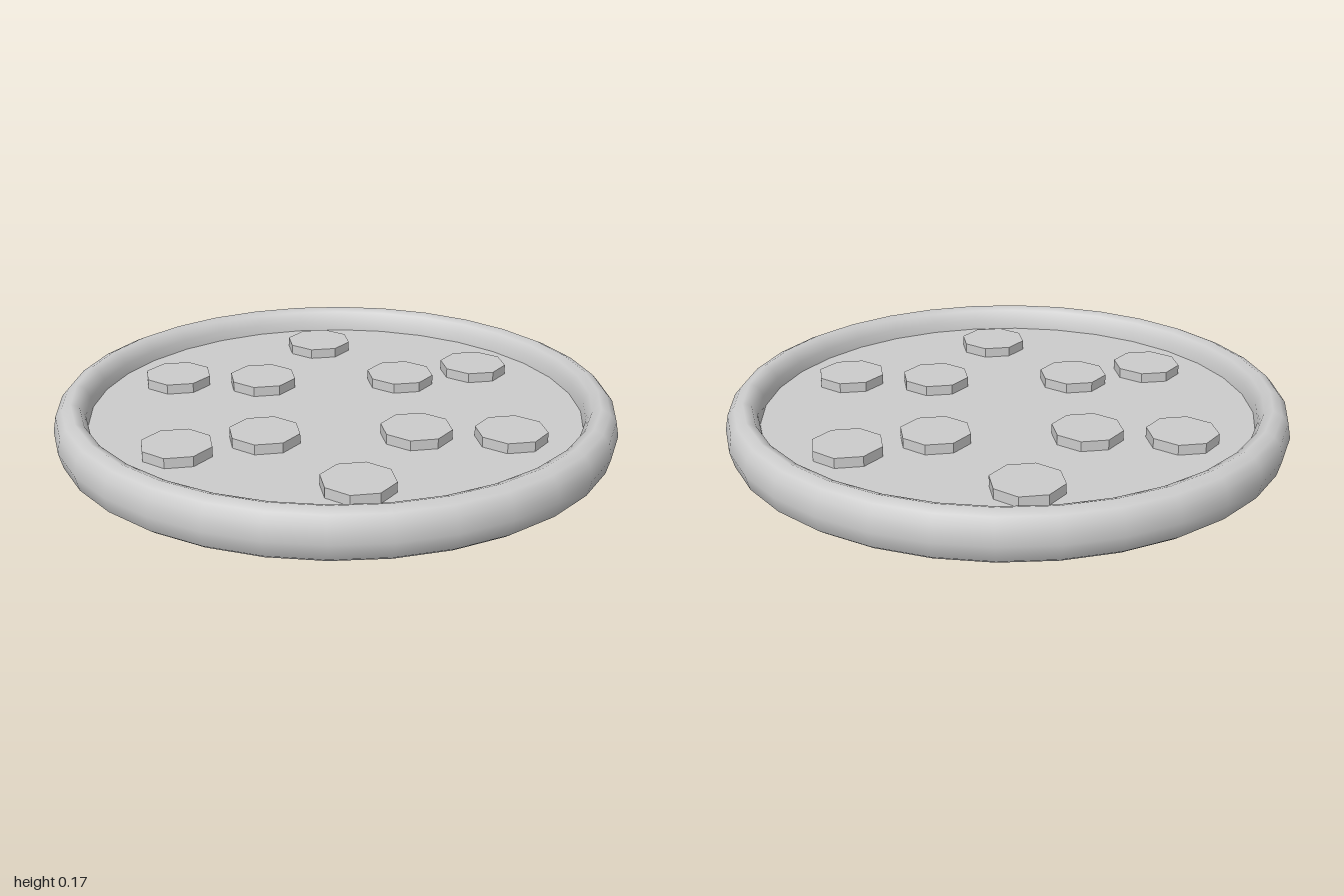
import * as THREE from 'three';

const SIDES = 32;
const FLOOR_Y = 0.083;

export function createModel() {
  const model = new THREE.Group();
  model.name = 'roundTray';
  const grey = new THREE.MeshStandardMaterial({ color: 0xcccccc });
  grey.name = 'light grey';

  const add = (name, geometry, parent = model) => {
    const mesh = new THREE.Mesh(geometry, grey);
    mesh.name = name;
    parent.add(mesh);
    return mesh;
  };

  // Rounded rim: up the outside, over the top and down to the floor
  const profile = [
    [0.965, 0], [0.985, 0.015], [1, 0.07], [0.99, 0.125], [0.967, 0.152],
    [0.935, 0.167], [0.905, 0.155], [0.886, 0.12], [0.88, FLOOR_Y],
  ].map(([x, y]) => new THREE.Vector2(x, y));
  add('rim', new THREE.LatheGeometry(profile, SIDES));

  // Flat floor and underside
  const floor = add('floor', new THREE.CircleGeometry(0.88, SIDES));
  floor.rotation.x = -Math.PI / 2;
  floor.position.y = FLOOR_Y;
  const underside = add('underside', new THREE.CircleGeometry(0.965, SIDES));
  underside.rotation.x = Math.PI / 2;

  // Octagonal slices, each paired with one half a turn away
  const slices = new THREE.Group();
  slices.name = 'slices';
  model.add(slices);
  const height = 0.036;
  const slice = new THREE.CylinderGeometry(0.125, 0.125, height, 8).toNonIndexed();
  slice.computeVertexNormals();
  const centres = [[-0.21, -0.62], [0.434, -0.49], [0.177, -0.322], [-0.322, -0.177], [-0.642, -0.13]];
  for (const [x, z] of centres) {
    for (const s of [1, -1]) {
      add('slice', slice, slices).position.set(s * x, FLOOR_Y + height / 2, s * z);
    }
  }
  return model;
}
